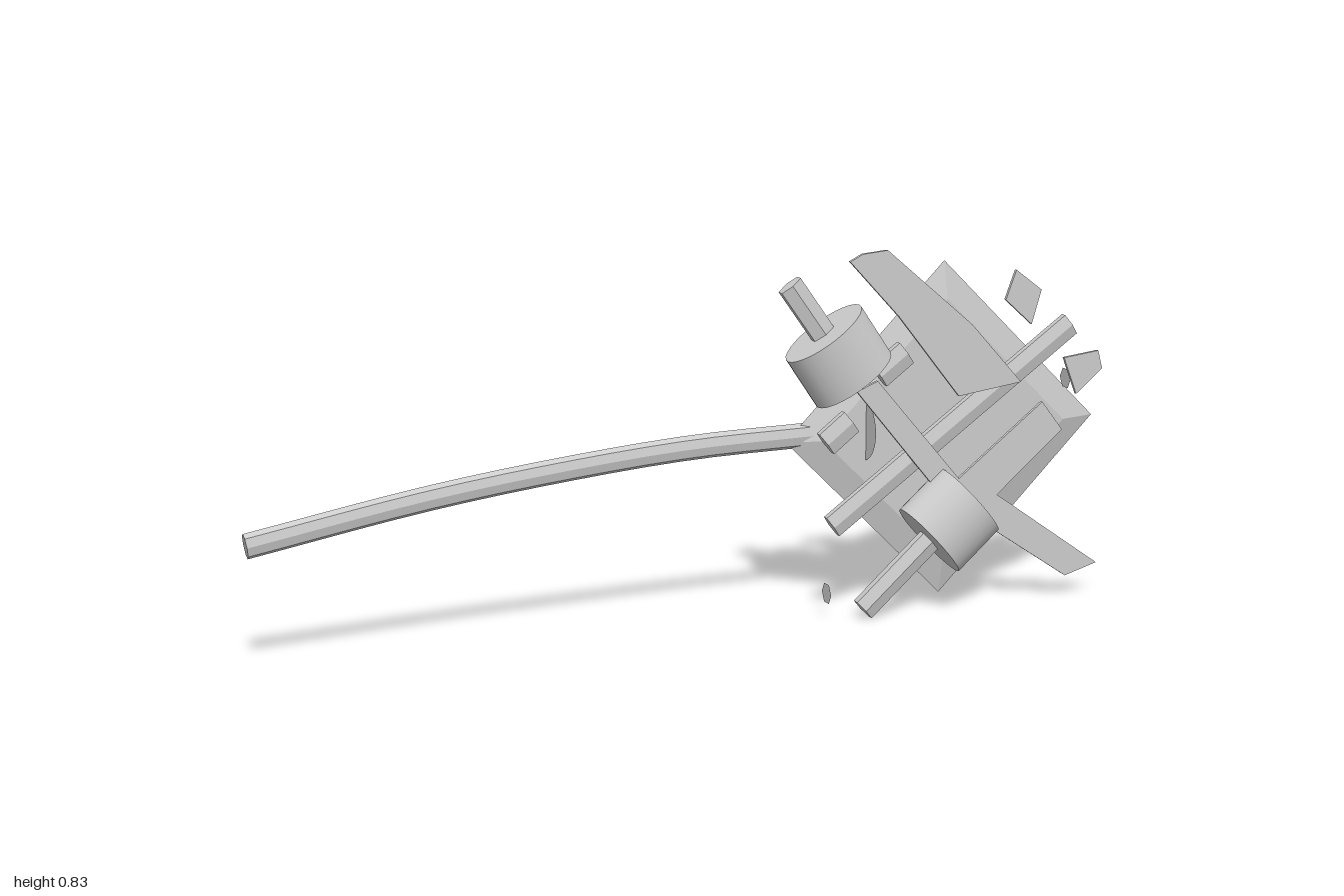
import * as THREE from 'three';

export function createModel() {
  const model = new THREE.Group();
  const flat = new THREE.MeshStandardMaterial({ color: 0xcccccc, flatShading: true, side: THREE.DoubleSide });
  const smooth = new THREE.MeshStandardMaterial({ color: 0xcccccc, side: THREE.DoubleSide });

  function add(name, geometry, material = flat) {
    const mesh = new THREE.Mesh(geometry, material);
    mesh.name = name;
    model.add(mesh);
    return mesh;
  }

  // Straight flattened prism between two points of an upright plane at depth z
  function bar(name, a, b, width, depth, z, sides = 6, material = flat) {
    const dx = b[0] - a[0], dy = b[1] - a[1];
    const g = new THREE.CylinderGeometry(0.5, 0.5, Math.hypot(dx, dy), sides);
    g.scale(width, 1, depth);
    g.rotateZ(Math.atan2(-dx, dy));
    g.translate((a[0] + b[0]) / 2, (a[1] + b[1]) / 2, z);
    return add(name, g, material);
  }

  // Thin flat piece cut from an outline
  function sheet(name, outline, z, thickness = 0.008) {
    const shape = new THREE.Shape(outline.map(([x, y]) => new THREE.Vector2(x, y)));
    const g = new THREE.ExtrudeGeometry(shape, { depth: thickness, bevelEnabled: false });
    g.translate(0, 0, z - thickness / 2);
    return add(name, g);
  }

  // Square plate standing on its corner, bevelled to a thin rim
  const profile = [[0, -0.02], [0.3, -0.02], [0.384, 0], [0.3, 0.02], [0, 0.02]];
  const plate = new THREE.LatheGeometry(profile.map(([x, y]) => new THREE.Vector2(x, y)), 4);
  plate.rotateX(Math.PI / 2);
  plate.translate(0.612, 0.408, -0.045);
  add('plate', plate);

  // Long, slightly bowed pole
  const path = new THREE.CatmullRomCurve3([
    [-0.995, 0.292], [-0.6, 0.357], [-0.3, 0.392], [0, 0.415], [0.3, 0.42],
  ].map(([x, y]) => new THREE.Vector3(x, y, 0)));
  const pole = new THREE.TubeGeometry(path, 16, 0.028, 8, false);
  pole.scale(1, 1, 0.6);
  pole.translate(0, 0, -0.05);
  add('pole', pole);
  const cap = new THREE.CircleGeometry(0.028, 8);
  cap.rotateY(-Math.PI / 2);
  cap.scale(1, 1, 0.6);
  cap.rotateZ(0.16);
  cap.translate(-0.995, 0.292, -0.05);
  add('poleCap', cap);

  // Two grips, each with an oval drum and a short shaft
  const knives = [
    { name: 'upper', tip: [0.198, 0.778], drum: [0.315, 0.613], dir: [0.56, -0.83] },
    { name: 'lower', tip: [0.382, 0.03], drum: [0.592, 0.217], dir: [0.75, 0.66] },
  ];
  for (const { name, tip, drum, dir } of knives) {
    const along = (d) => [drum[0] + dir[0] * d, drum[1] + dir[1] * d];
    bar(name + 'Grip', tip, drum, 0.062, 0.036, 0.04);
    bar(name + 'Drum', along(-0.065), along(0.065), 0.204, 0.142, 0.042, 28, smooth);
    bar(name + 'Shaft', along(0), along(0.075), 0.05, 0.034, 0.04, 8);
  }

  // Thin blade sections and their slanted tips
  sheet('upperBladeRoot', [[0.36, 0.53], [0.41, 0.55], [0.64, 0.28], [0.6, 0.24]], 0.04);
  sheet('upperBladeTip', [[0.6, 0.27], [0.65, 0.22], [0.89, 0.057], [0.97, 0.08], [0.71, 0.265]], 0.04);
  sheet('lowerBladeRoot', [[0.6, 0.3], [0.82, 0.47], [0.872, 0.402], [0.67, 0.23]], 0.04);
  sheet('lowerBladeTip', [[0.34, 0.82], [0.37, 0.835], [0.43, 0.84], [0.64, 0.66], [0.765, 0.52],
    [0.61, 0.5], [0.46, 0.69]], 0.04);

  // Crossbar and two short stubs
  bar('crossbar', [0.315, 0.222], [0.9, 0.638], 0.062, 0.03, 0.015);
  bar('upperStub', [0.425, 0.555], [0.49, 0.603], 0.068, 0.03, 0.015);
  bar('leftStub', [0.298, 0.412], [0.358, 0.458], 0.068, 0.03, 0.015);

  // Loose chips beside the plate
  sheet('topChip', [[0.722, 0.71], [0.747, 0.776], [0.811, 0.727], [0.788, 0.65]], 0.04);
  sheet('sideChip', [[0.873, 0.567], [0.96, 0.577], [0.971, 0.535], [0.906, 0.481]], 0.04);

  // Flat end pieces that face sideways
  function sideDisc(name, radius, sides, x, y, z) {
    const g = new THREE.CircleGeometry(radius, sides);
    g.rotateY(Math.PI / 2);
    g.translate(x, y, z);
    return add(name, g);
  }
  sideDisc('largeDisc', 0.072, 32, 0.415, 0.425, -0.045);
  sideDisc('rightHexagon', 0.025, 6, 0.9, 0.51, 0.002);
  sideDisc('leftHexagon', 0.025, 6, 0.31, 0.065, 0.002);

  return model;
}
